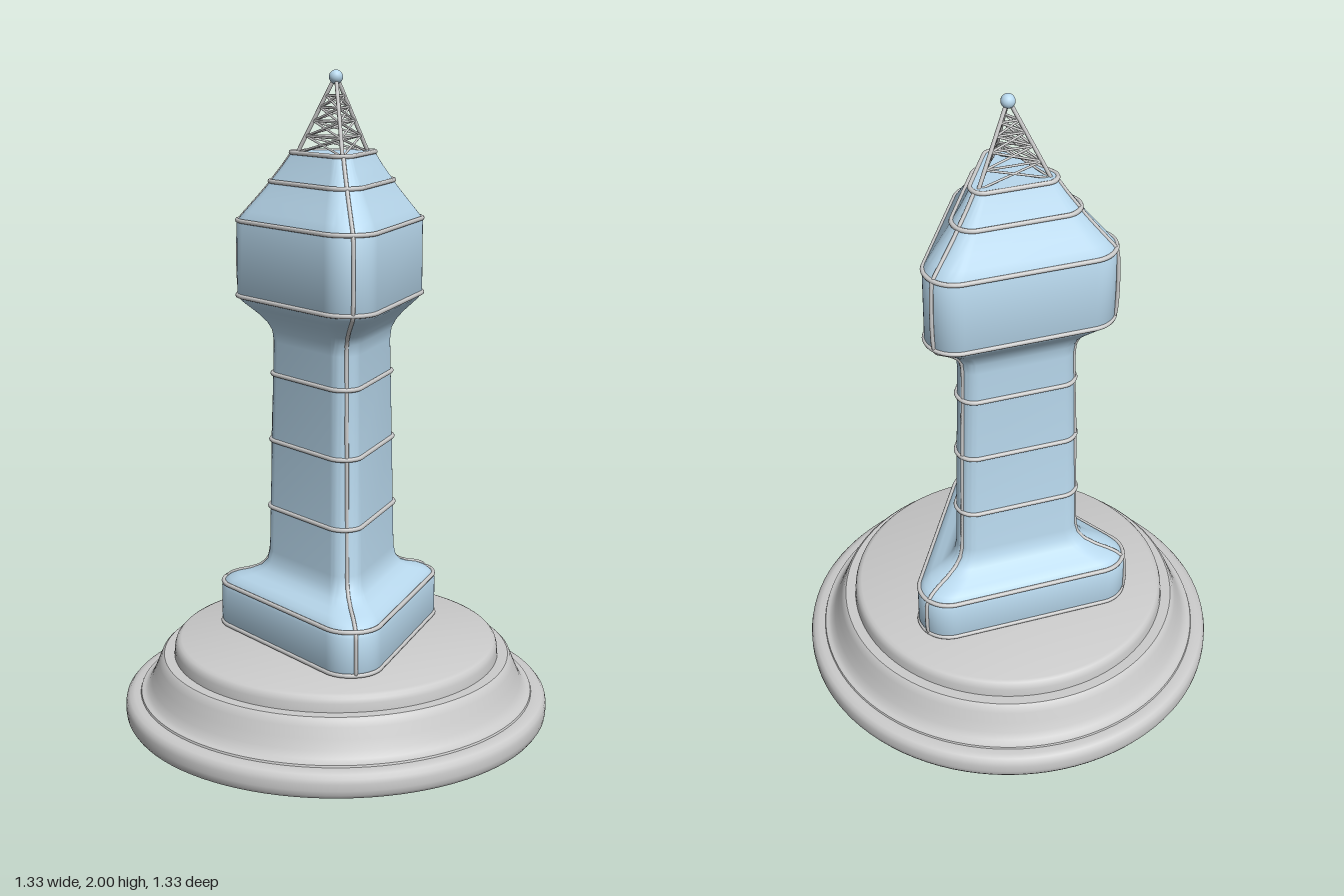
import * as THREE from 'three';
import { toCreasedNormals } from 'three/addons/utils/BufferGeometryUtils.js';

const grey = new THREE.MeshStandardMaterial({ color: 0xcccccc });
const blue = new THREE.MeshStandardMaterial({ color: 0xb9d9ee });

// Tower cross-sections: height, distance of the corner centres, corner radius
const SECTIONS = [
  [0.25, 0.278, 0.085], [0.258, 0.288, 0.092], [0.27, 0.29, 0.095], [0.375, 0.29, 0.095],
  [0.392, 0.285, 0.092], [0.408, 0.272, 0.086], [0.42, 0.25, 0.08], [0.432, 0.22, 0.07],
  [0.45, 0.19, 0.062], [0.475, 0.172, 0.057], [0.51, 0.165, 0.055], [0.87, 0.157, 0.053],
  [1.18, 0.15, 0.051], [1.215, 0.154, 0.052], [1.24, 0.165, 0.057], [1.265, 0.184, 0.066],
  [1.29, 0.208, 0.078], [1.305, 0.222, 0.085], [1.325, 0.228, 0.09], [1.54, 0.228, 0.09],
  [1.555, 0.224, 0.087], [1.58, 0.207, 0.081], [1.615, 0.183, 0.072], [1.65, 0.161, 0.062],
  [1.67, 0.15, 0.057], [1.715, 0.126, 0.044], [1.76, 0.102, 0.035],
];

// Direction of corner k, with corner 0 at the back
const cornerAngle = (k) => Math.PI + (k * Math.PI * 2) / 3;
const polar = (angle, r, y) => new THREE.Vector3(Math.sin(angle) * r, y, Math.cos(angle) * r);

// Point on the rounded corner k; f runs from 0 to 1 around its arc
function cornerPoint(k, f, c, rad, y) {
  const a = cornerAngle(k);
  return polar(a, c, y).add(polar(a + ((f - 0.5) * Math.PI * 2) / 3, rad, 0));
}

// Closed outline of a rounded triangle
class RoundedTriangle extends THREE.Curve {
  constructor(y, c, rad) {
    super();
    Object.assign(this, { y, c, rad });
    this.arcLengthDivisions = 600;
  }
  getPoint(t, target = new THREE.Vector3()) {
    const u = (((t % 1) + 1) % 1) * 3;
    const k = Math.floor(u), f = u - k;
    const p = cornerPoint(k, Math.min(f * 2, 1), this.c, this.rad, this.y);
    if (f > 0.5) p.lerp(cornerPoint(k + 1, 0, this.c, this.rad, this.y), f * 2 - 1);
    return target.copy(p);
  }
}

// Interpolated section at a given height
function sectionAt(y) {
  const i = Math.max(1, SECTIONS.findIndex((s) => s[0] >= y));
  const a = SECTIONS[i - 1], b = SECTIONS[i];
  const f = (y - a[0]) / (b[0] - a[0]);
  return a.map((v, n) => v + (b[n] - v) * f);
}

function add(group, name, geometry, material = grey) {
  const mesh = new THREE.Mesh(geometry, material);
  mesh.name = name;
  group.add(mesh);
  return mesh;
}

// Round bar between two points
function strut(group, name, a, b, r) {
  const mesh = add(group, name, new THREE.CylinderGeometry(r, r, a.distanceTo(b), 8));
  mesh.position.copy(a).lerp(b, 0.5);
  mesh.quaternion.setFromUnitVectors(new THREE.Vector3(0, 1, 0), b.clone().sub(a).normalize());
}

// Skin through all sections, closed at both ends
function towerGeometry() {
  const ARC = 16, n = 3 * (ARC + 1), pos = [], index = [];
  const first = SECTIONS[0], last = SECTIONS[SECTIONS.length - 1];
  const rows = [[first[0], 0, 0], ...SECTIONS, [last[0], 0, 0]];
  for (const [y, c, rad] of rows)
    for (let k = 0; k < 3; k++)
      for (let j = 0; j <= ARC; j++) pos.push(...cornerPoint(k, j / ARC, c, rad, y).toArray());
  for (let i = 0; i < rows.length - 1; i++)
    for (let j = 0; j < n; j++) {
      const a = i * n + j, b = i * n + ((j + 1) % n);
      if (i > 0) index.push(a, b, b + n);
      if (i < rows.length - 2) index.push(a, b + n, a + n);
      if (i === 0) index.push(a, b + n, a + n).valueOf;
    }
  const geo = new THREE.BufferGeometry();
  geo.setAttribute('position', new THREE.Float32BufferAttribute(pos, 3));
  geo.setIndex(index);
  return toCreasedNormals(geo, 0.8);
}

export function createModel() {
  const model = new THREE.Group();
  model.name = 'towerTrophy';

  // Round stepped plinth
  const profile = [
    [0, 0], [0.645, 0], [0.656, 0.005], [0.663, 0.016], [0.665, 0.03], [0.665, 0.05], [0.662, 0.064],
    [0.653, 0.075], [0.638, 0.08], [0.618, 0.08], [0.616, 0.086], [0.605, 0.088], [0.595, 0.095],
    [0.583, 0.115], [0.57, 0.145], [0.558, 0.175], [0.55, 0.193], [0.542, 0.2], [0.51, 0.2],
    [0.508, 0.225], [0.504, 0.238], [0.497, 0.246], [0.487, 0.25], [0, 0.25],
  ].map(([x, y]) => new THREE.Vector2(x, y));
  add(model, 'plinth', toCreasedNormals(new THREE.LatheGeometry(profile, 96), 0.7));

  // Tower body
  add(model, 'towerBody', towerGeometry(), blue);

  // Horizontal bands around the body
  const bands = new THREE.Group();
  bands.name = 'bands';
  model.add(bands);
  for (const y of [0.258, 0.392, 0.655, 0.87, 1.08, 1.32, 1.55, 1.67, 1.757]) {
    const [, c, rad] = sectionAt(y);
    add(bands, 'band', new THREE.TubeGeometry(new RoundedTriangle(y, c, rad + 0.002), 150, 0.007, 8, true));
  }

  // Ribs running up the three corners
  const ribs = new THREE.Group();
  ribs.name = 'cornerRibs';
  model.add(ribs);
  for (let k = 0; k < 3; k++) {
    const path = new THREE.CatmullRomCurve3(SECTIONS.map(([y, c, r]) => polar(cornerAngle(k), c + r, y)));
    add(ribs, 'cornerRib', new THREE.TubeGeometry(path, 160, 0.006, 8));
  }

  // Lattice mast: three legs, level rings and cross braces
  const mast = new THREE.Group();
  mast.name = 'latticeMast';
  model.add(mast);
  const tipY = 1.975, footY = 1.755;
  const legPoint = (k, y) => polar(cornerAngle(k), 0.005 + (0.118 * (tipY - y)) / (tipY - footY), y);
  const levels = [footY, 1.805, 1.85, 1.89, 1.925];
  for (let k = 0; k < 3; k++) {
    strut(mast, 'mastLeg', legPoint(k, footY), legPoint(k, tipY), 0.006);
    levels.forEach((y, i) => {
      strut(mast, 'mastRing', legPoint(k, y), legPoint(k + 1, y), 0.0035);
      if (i === levels.length - 1) return;
      strut(mast, 'mastBrace', legPoint(k, y), legPoint(k + 1, levels[i + 1]), 0.0035);
      strut(mast, 'mastBrace', legPoint(k + 1, y), legPoint(k, levels[i + 1]), 0.0035);
    });
  }

  // Ball on the tip
  add(model, 'tipBall', new THREE.SphereGeometry(0.021, 24, 16), blue).position.y = 1.979;

  return model;
}
